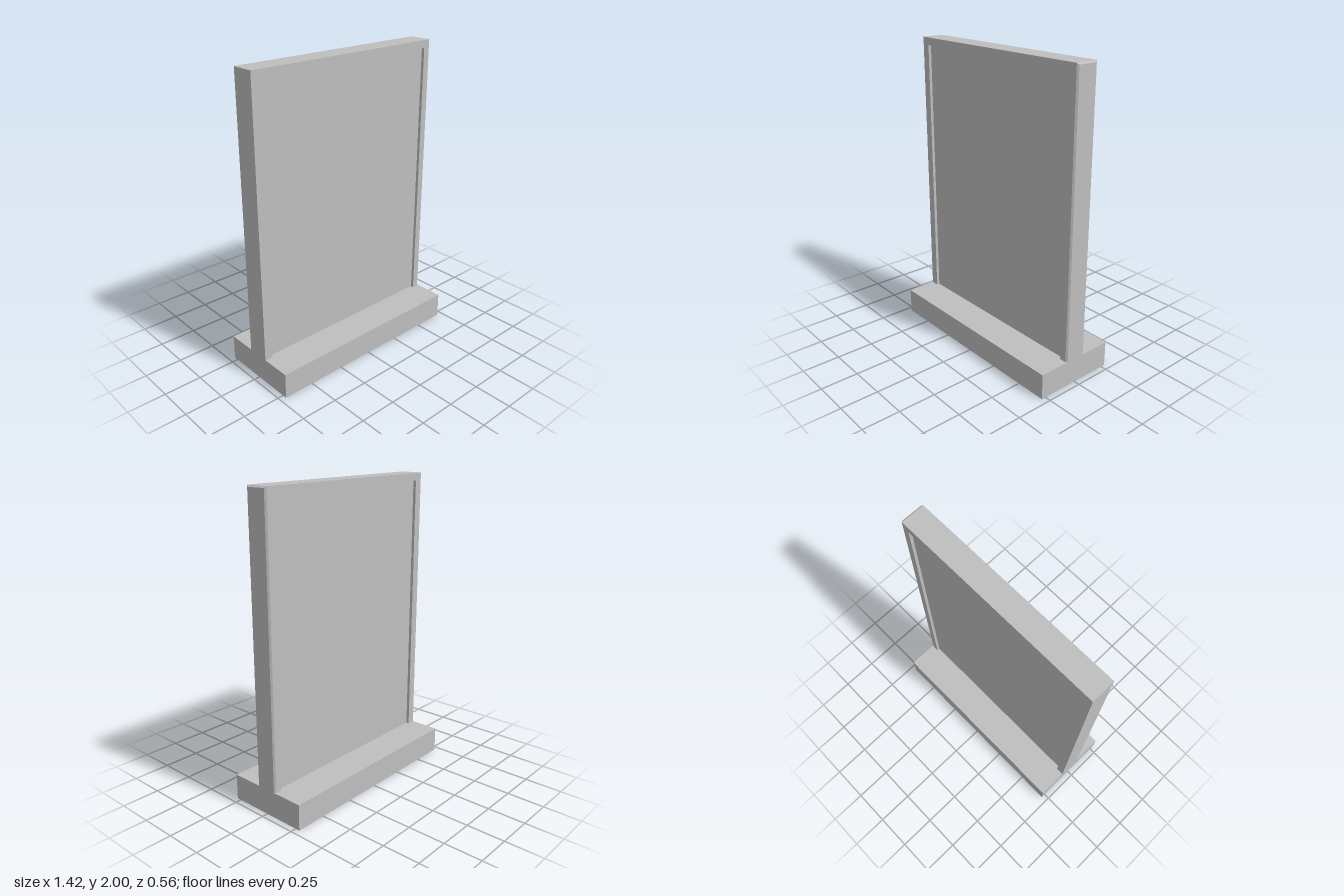
import * as THREE from 'three';

export function createModel() {
  const group = new THREE.Group();
  const grey = new THREE.MeshStandardMaterial({ color: 0xbfbfbf });
  grey.name = 'stone grey';

  const add = (name, geometry) => {
    const mesh = new THREE.Mesh(geometry, grey);
    mesh.name = name;
    group.add(mesh);
  };
  const block = (x0, x1, y0, y1, halfZ) =>
    new THREE.BoxGeometry(x1 - x0, y1 - y0, halfZ * 2).translate((x0 + x1) / 2, (y0 + y1) / 2, 0);

  const baseTop = 0.17, halfDepth = 0.077, bevel = 0.01;
  const outer = 0.71, inner = 0.655, railBottom = 1.95;

  // Foot running the full width
  add('base', block(-outer, outer, 0, baseTop, 0.28));

  // One-piece surround, open at the bottom, standing on the base
  const arch = new THREE.Shape([
    [-outer, baseTop], [-inner, baseTop], [-inner, railBottom], [inner, railBottom],
    [inner, baseTop], [outer - bevel, baseTop], [outer - bevel, 2], [-outer, 2],
  ].map(([x, y]) => new THREE.Vector2(x, y)));
  add('frame', new THREE.ExtrudeGeometry(arch, { depth: halfDepth * 2, bevelEnabled: false })
    .translate(0, 0, -halfDepth));

  // Panel set back from the frame on both faces
  add('panel', block(-inner, inner, baseTop, railBottom, halfDepth - 0.02));

  // Left end of the frame, with its outer edges bevelled
  const cap = block(outer - bevel, outer, baseTop, 2, halfDepth);
  const p = cap.attributes.position;
  for (let i = 0; i < p.count; i++) {
    if (p.getX(i) < outer - bevel / 2) continue;
    p.setZ(i, p.getZ(i) - Math.sign(p.getZ(i)) * bevel);
    if (p.getY(i) > 1) p.setY(i, 2 - bevel);
  }
  const flatCap = cap.toNonIndexed();
  flatCap.computeVertexNormals();
  add('bevelledEnd', flatCap);

  return group;
}
